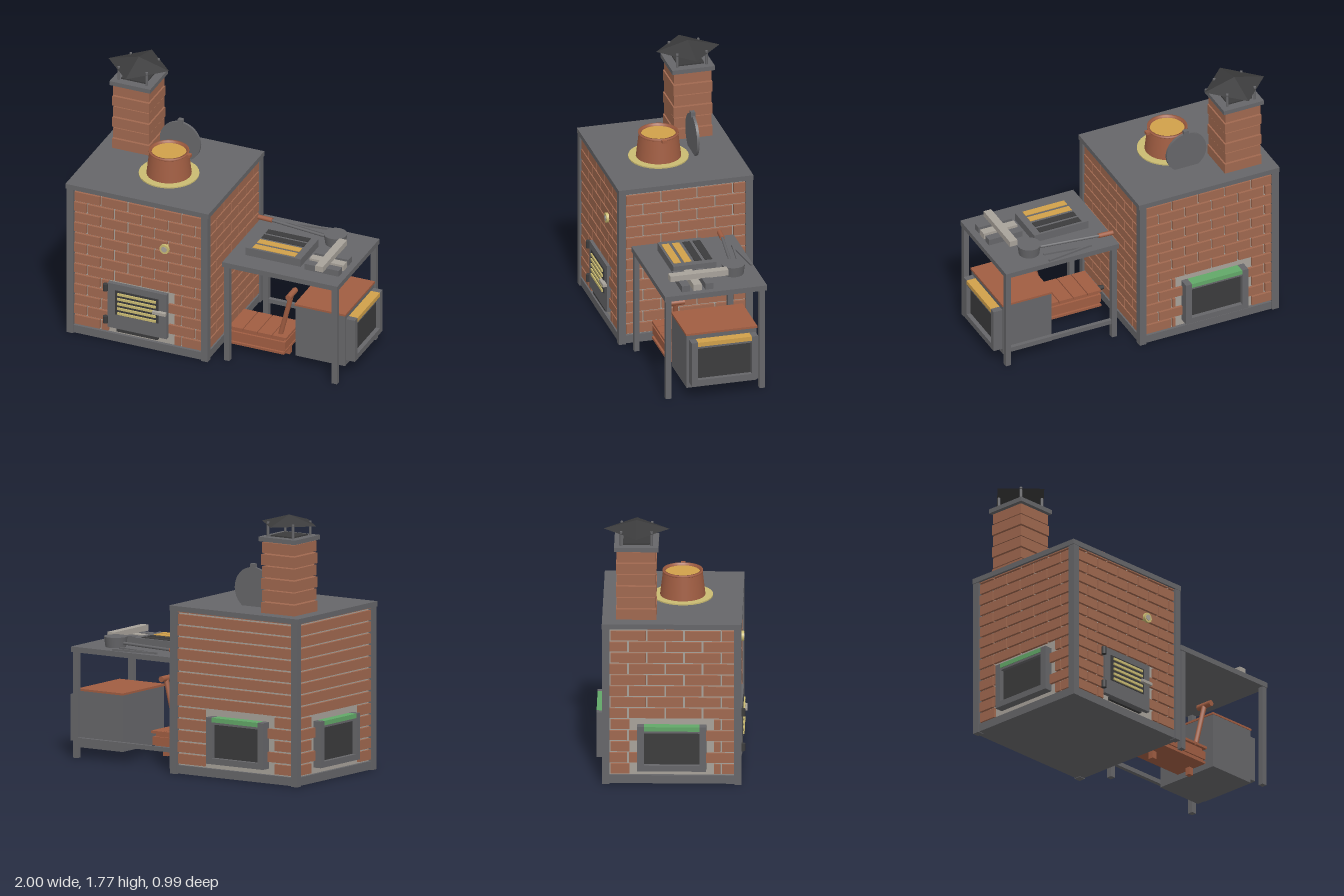
import * as THREE from 'three';
import { mergeGeometries } from 'three/addons/utils/BufferGeometryUtils.js';

const paint = (name, color, extra = {}) => {
  const m = new THREE.MeshStandardMaterial({ color, ...extra });
  m.name = name;
  return m;
};

export function createModel() {
  const steel = paint('steel grey', 0x666669);
  const dark = paint('soot black', 0x3b3b3c, { side: THREE.DoubleSide });
  const brick = paint('brick red', 0xa0684f);
  const wood = paint('copper brown', 0xa05d42, { side: THREE.DoubleSide });
  const mortar = paint('mortar grey', 0xa8a29a);
  const brass = paint('pale brass', 0xcabb72);
  const amber = paint('amber', 0xd0a04a);
  const green = paint('green', 0x62a868);

  const root = new THREE.Group();
  const add = (name, geo, mat, parent = root) => {
    const m = new THREE.Mesh(geo, mat);
    m.name = name;
    parent.add(m);
    return m;
  };
  // Box geometry and mesh given by its minimum and maximum corners
  const boxGeo = (x0, x1, y0, y1, z0, z1) =>
    new THREE.BoxGeometry(x1 - x0, y1 - y0, z1 - z0).translate((x0 + x1) / 2, (y0 + y1) / 2, (z0 + z1) / 2);
  const box = (name, mat, b, parent = root) => add(name, boxGeo(...b), mat, parent);
  // Straight rod between two points
  const rod = (name, mat, a, b, r0, r1 = r0, sides = 12) => {
    const p = new THREE.Vector3(...a), q = new THREE.Vector3(...b), d = q.clone().sub(p);
    const m = add(name, new THREE.CylinderGeometry(r1, r0, d.length(), sides), mat);
    m.position.copy(p).add(q).multiplyScalar(0.5);
    m.quaternion.setFromUnitVectors(new THREE.Vector3(0, 1, 0), d.normalize());
    return m;
  };

  // Furnace shell
  const CX = -0.463;
  box('furnaceBase', steel, [CX - 0.5, CX + 0.5, 0.004, 0.06, -0.45, 0.45]);
  box('mortarCore', mortar, [CX - 0.478, CX + 0.478, 0.06, 1.09, -0.428, 0.428]);
  box('furnaceTop', steel, [CX - 0.513, CX + 0.513, 1.085, 1.12, -0.46, 0.46]);
  for (const sx of [-1, 1]) for (const sz of [-1, 1]) {
    const x = CX + sx * 0.483, z = sz * 0.434;
    box('cornerPost', steel, [x - 0.024, x + 0.024, 0, 1.09, z - 0.024, z + 0.024]);
  }

  // Brick wall in running bond, cut around an opening with toothed edges
  const GAP = 0.006, ROW = 0.0775;
  function wall(name, half, depth, pitch, angle, open) {
    const parts = [];
    for (let row = 0; row < 14; row++) {
      const y0 = 0.07 + row * ROW, y1 = Math.min(y0 + ROW - GAP * 2, 1.088);
      const cut = y0 < 0.42;
      const tooth = row % 2 === 0 ? 0.05 : 0;
      const lo = open.a - (open.both ? tooth : 0), hi = open.b + tooth;
      for (let x = -half - (row % 2) * pitch / 2; x < half; x += pitch) {
        const a = Math.max(x + GAP, -half), b = Math.min(x + pitch - GAP, half);
        const pieces = cut ? [[a, Math.min(b, lo)], [Math.max(a, hi), b]] : [[a, b]];
        for (const [p, q] of pieces)
          if (q - p > 0.01) parts.push(boxGeo(p, q, y0, y1, depth - 0.02, depth + 0.018));
      }
    }
    const m = add(name, mergeGeometries(parts), brick);
    m.position.x = CX;
    m.rotation.y = angle;
  }
  const none = { a: 9, b: 9 };
  wall('frontBricks', 0.46, 0.428, 0.193, 0, { a: -0.211, b: 0.213 });
  wall('backBricks', 0.46, 0.428, 0.193, Math.PI, { a: -0.19, b: 0.264, both: true });
  wall('rightBricks', 0.41, 0.478, 0.245, Math.PI / 2, none);
  wall('leftBricks', 0.41, 0.478, 0.245, -Math.PI / 2, { a: -0.227, b: 0.227, both: true });

  // Framed window with a coloured top bar, facing local +z
  function framedWindow(name, barMat, x, z, angle) {
    const g = new THREE.Group();
    g.name = name;
    for (const s of [-1, 1])
      box('windowPost', steel, s < 0 ? [-0.227, -0.183, 0.1, 0.41, -0.08, 0] : [0.183, 0.227, 0.1, 0.41, -0.08, 0], g);
    box('windowSill', steel, [-0.183, 0.183, 0.1, 0.14, -0.08, 0], g);
    box('windowLintel', steel, [-0.183, 0.183, 0.365, 0.38, -0.08, -0.004], g);
    box('windowBar', barMat, [-0.183, 0.183, 0.38, 0.41, -0.08, 0], g);
    box('windowPane', dark, [-0.183, 0.183, 0.14, 0.365, -0.06, -0.03], g);
    g.position.set(x, 0, z);
    g.rotation.y = angle;
    root.add(g);
  }
  framedWindow('backWindow', green, -0.5, -0.5, Math.PI);
  framedWindow('leftWindow', green, -1, 0, -Math.PI / 2);
  framedWindow('cabinetWindow', amber, 1, 0, Math.PI / 2);

  // Fire door
  box('fireDoor', steel, [-0.674, -0.25, 0.107, 0.44, 0.42, 0.458]);
  box('grillePanel', dark, [-0.62, -0.31, 0.215, 0.395, 0.455, 0.463]);
  for (let i = 0; i < 5; i++) {
    const y = 0.229 + i * 0.036;
    box('grilleBar', brass, [-0.6, -0.325, y - 0.008, y + 0.008, 0.46, 0.472]);
  }
  box('doorHandle', mortar, [-0.345, -0.25, 0.29, 0.31, 0.458, 0.485]);
  for (const y of [0.162, 0.405]) rod('doorHinge', dark, [-0.688, y - 0.025, 0.462], [-0.688, y + 0.025, 0.462], 0.017);
  box('ashSlot', dark, [-0.615, -0.32, 0.08, 0.1, 0.42, 0.45]);

  // Round gauge
  rod('gaugeRim', brass, [-0.267, 0.785, 0.43], [-0.267, 0.785, 0.463], 0.034, 0.034, 20);
  rod('gaugeFace', mortar, [-0.267, 0.785, 0.46], [-0.267, 0.785, 0.466], 0.02, 0.02, 20);

  // Chimney: open brick rings, cap, flue and pyramid cowl
  const HX = -0.753, HZ = -0.235, T = 0.05;
  for (let i = 0; i < 6; i++) {
    const y0 = 1.12 + i * 0.08, y1 = y0 + 0.071, h = i % 2 ? 0.128 : 0.133;
    const ring = [];
    for (const s of [-1, 1]) {
      const c = s * (h - T / 2);
      ring.push(boxGeo(-h, h, y0, y1, c - T / 2, c + T / 2));
      ring.push(boxGeo(c - T / 2, c + T / 2, y0, y1, -h + T, h - T));
    }
    add('chimneyCourse', mergeGeometries(ring), brick).position.set(HX, 0, HZ);
  }
  box('chimneyCap', steel, [HX - 0.146, HX + 0.146, 1.598, 1.628, HZ - 0.146, HZ + 0.146]);
  box('flueMouth', dark, [HX - 0.088, HX + 0.088, 1.62, 1.637, HZ - 0.088, HZ + 0.088]);
  for (const sx of [-1, 1]) for (const sz of [-1, 1])
    rod('cowlPost', steel, [HX + sx * 0.1, 1.62, HZ + sz * 0.1], [HX + sx * 0.1, 1.725, HZ + sz * 0.1], 0.009, 0.009, 8);
  const cowl = add('chimneyCowl', new THREE.ConeGeometry(0.217, 0.06, 4).toNonIndexed(), dark);
  cowl.geometry.computeVertexNormals();
  cowl.position.set(HX, 1.74, HZ);

  // Pot on its brass flange
  const PX = -0.406, PZ = 0.062;
  const lathe = (name, mat, pts) => {
    const m = add(name, new THREE.LatheGeometry(pts.map(p => new THREE.Vector2(...p)), 28), mat);
    m.position.set(PX, 0, PZ);
    return m;
  };
  rod('potFlange', brass, [PX, 1.118, PZ], [PX, 1.129, PZ], 0.2, 0.2, 32);
  lathe('potWall', wood, [[0.15, 1.125], [0.131, 1.285]]);
  lathe('potRim', wood, [[0.131, 1.285], [0.134, 1.288], [0.134, 1.3], [0.118, 1.3], [0.114, 1.27]]);
  rod('potContents', amber, [PX, 1.26, PZ], [PX, 1.285, PZ], 0.115, 0.115, 28);
  box('potTab', wood, [-0.285, -0.248, 1.28, 1.299, PZ - 0.016, PZ + 0.016]);

  // Lid standing behind the pot
  rod('lid', steel, [-0.428, 1.237, -0.186], [-0.428, 1.237, -0.168], 0.145, 0.145, 32);
  box('lidKnob', steel, [-0.443, -0.408, 1.37, 1.405, -0.19, -0.162]);

  // Work table
  box('tableTop', steel, [0.12, 0.945, 0.706, 0.742, -0.303, 0.393]);
  for (const x of [0.13, 0.903]) for (const z of [-0.29, 0.35])
    box('tableLeg', steel, [x, x + 0.037, 0, 0.71, z, z + 0.037]);
  box('backStretcher', steel, [0.16, 0.91, 0.105, 0.135, -0.285, -0.258]);

  // Cabinet under the table
  box('cabinet', steel, [0.58, 0.936, 0.063, 0.44, -0.234, 0.245]);
  box('cabinetTop', wood, [0.575, 0.94, 0.44, 0.454, -0.238, 0.249]);

  // Bellows with nozzle, planks, feet and lever
  box('bellowsBase', wood, [0.105, 0.5, 0.052, 0.068, 0, 0.25]);
  box('bellowsBody', wood, [0.115, 0.495, 0.068, 0.085, 0.015, 0.235]);
  box('bellowsFold', wood, [0.105, 0.505, 0.085, 0.142, 0.005, 0.245]);
  box('bellowsNeck', wood, [0.12, 0.49, 0.142, 0.164, 0.02, 0.23]);
  for (let i = 0; i < 4; i++)
    box('bellowsPlank', wood, [0.105 + i * 0.104, 0.203 + i * 0.104, 0.164, 0.181, 0, 0.25]);
  for (const x of [0.11, 0.46]) box('bellowsFoot', wood, [x, x + 0.036, 0, 0.055, 0.108, 0.144]);
  rod('bellowsNozzle', dark, [0.11, 0.11, 0.12], [0.03, 0.11, 0.12], 0.024, 0.014);
  rod('bellowsLever', wood, [0.455, 0.175, 0.2], [0.538, 0.5, 0.206], 0.017);
  rod('leverGrip', wood, [0.538, 0.5, 0.15], [0.538, 0.5, 0.268], 0.02);

  // Ingot mould with four slots
  box('ingotMould', steel, [0.222, 0.618, 0.74, 0.798, -0.05, 0.245]);
  for (let i = 0; i < 4; i++) {
    const z = -0.033 + i * 0.071;
    box('ingotSlot', i < 2 ? dark : amber, [0.267, 0.57, 0.795, 0.802, z, z + 0.05]);
  }

  // Stacked bars
  for (let i = 0; i < 3; i++) {
    const z = 0.05 + i * 0.08;
    box('lowerBar', i === 1 ? mortar : steel, [0.655, 0.9, 0.74, 0.785, z, z + 0.056]);
  }
  box('upperBar', mortar, [0.755, 0.81, 0.782, 0.822, -0.077, 0.32]);

  // Ladle
  rod('ladleCup', steel, [0.7, 0.742, -0.14], [0.7, 0.812, -0.14], 0.068, 0.078, 20);
  rod('ladleHandle', steel, [0.64, 0.772, -0.145], [0.215, 0.772, -0.2], 0.01);
  rod('ladleGrip', wood, [0.222, 0.772, -0.2], [0.12, 0.772, -0.206], 0.016);

  // Tongs
  for (const s of [-1, 1]) {
    const t = box('tongArm', steel, [-0.165, 0.165, 0.74, 0.755, -0.007, 0.007]);
    t.position.set(0.46, 0, -0.246 + s * 0.019);
    t.rotation.y = -s * 0.13;
  }
  return root;
}
